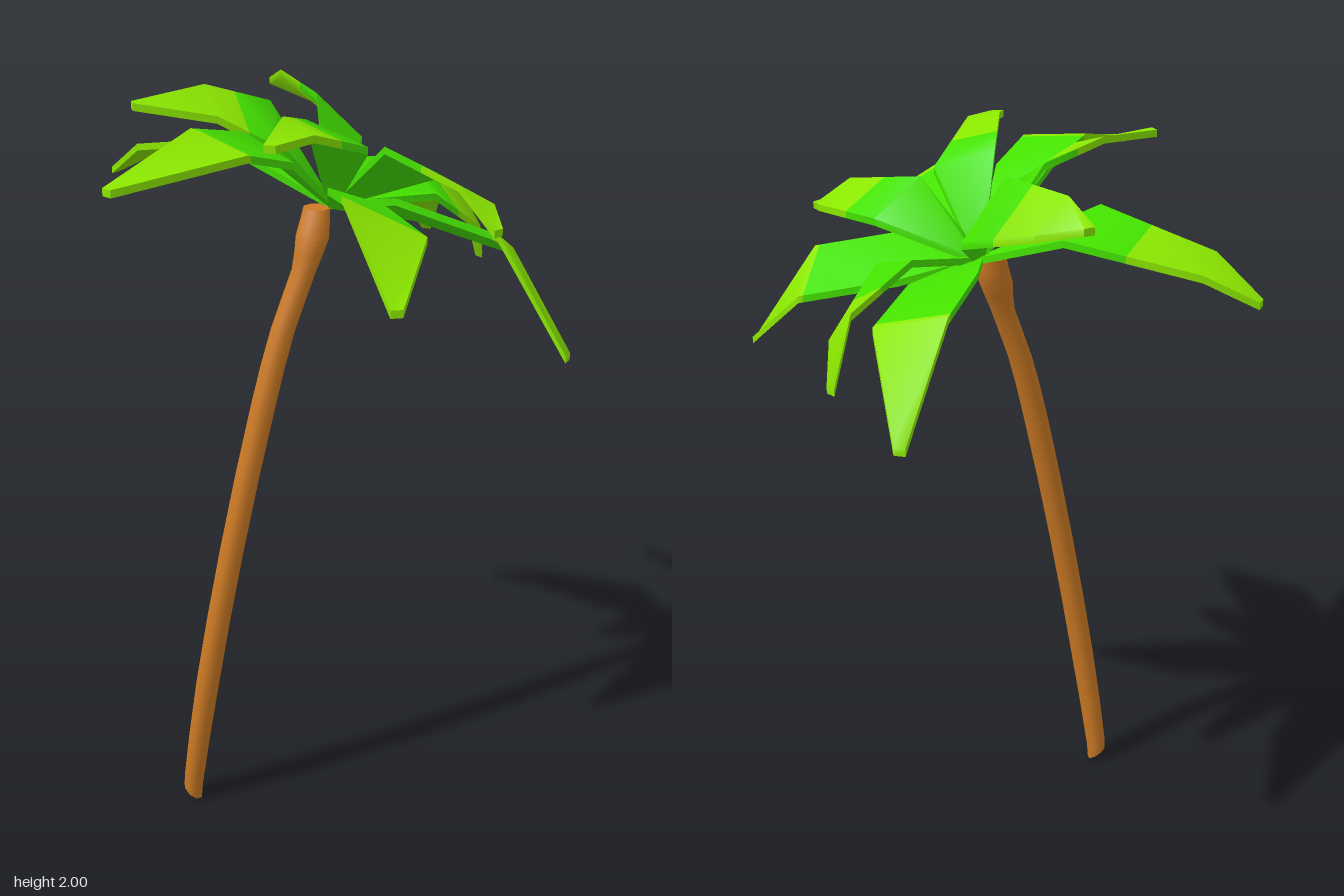
import * as THREE from 'three';
import { toCreasedNormals } from 'three/addons/utils/BufferGeometryUtils.js';

const bark = new THREE.MeshStandardMaterial({ color: 0xcc7a24 });
bark.name = 'bark brown';
const leafGreen = new THREE.MeshStandardMaterial({ color: 0x44e200 });
leafGreen.name = 'leaf green';
const tipGreen = new THREE.MeshStandardMaterial({ color: 0x8ae600 });
tipGreen.name = 'tip yellow green';

const THICK = 0.018;
const CROWN = new THREE.Vector3(0.03, 1.71, 0);

// Frond: a thin blade through crown, shoulder pair, outer pair and tip.
// Each pair is left then right seen from above, looking outward.
// split = where between shoulder and outer pair the tip colour begins.
function makeFrond(split, shoulder, outer, tip) {
  const v = (a) => new THREE.Vector3(...a);
  const pair = (p) => [v(p.slice(0, 3)), v(p.slice(3))];
  const ends = (p, dir, half) => {
    const side = new THREE.Vector3(dir.z, 0, -dir.x).normalize().multiplyScalar(half);
    return [p.clone().add(side), p.clone().sub(side)];
  };
  const out = v(tip).sub(CROWN);
  const s = pair(shoulder), o = pair(outer);
  const change = [0, 1].map((i) => s[i].clone().lerp(o[i], split));
  const rows = [ends(CROWN, out, 0.01), s, change, o, ends(v(tip), out, 0.014)];

  const pos = [];
  const low = (p) => p.clone().setY(p.y - THICK);
  const quad = (a, b, c, d) => [a, b, c, a, c, d].forEach((p) => pos.push(p.x, p.y, p.z));
  let inner = 0;
  for (let i = 0; i < rows.length - 1; i++) {
    const [a, b] = rows[i], [d, c] = rows[i + 1];
    quad(a, b, c, d);
    quad(low(b), low(a), low(d), low(c));
    quad(low(a), a, d, low(d));
    quad(b, low(b), low(c), c);
    if (i === 0) quad(low(a), low(b), b, a);
    if (i === rows.length - 2) quad(d, c, low(c), low(d));
    if (i === 1) inner = pos.length / 3;
  }
  const geo = new THREE.BufferGeometry();
  geo.setAttribute('position', new THREE.Float32BufferAttribute(pos, 3));
  geo.addGroup(0, inner, 0);
  geo.addGroup(inner, pos.length / 3 - inner, 1);
  return new THREE.Mesh(toCreasedNormals(geo, 0.95), [leafGreen, tipGreen]);
}

// Trunk: a cylinder whose rings follow a leaning curve, swelling under the crown
function makeTrunk() {
  const rings = [ // x, y, z, radius
    [-0.278, 0.02, 0.29, 0.026], [-0.272, 0.08, 0.29, 0.03], [-0.222, 0.4, 0.283, 0.034],
    [-0.157, 0.8, 0.245, 0.034], [-0.09, 1.2, 0.175, 0.034], [-0.052, 1.4, 0.128, 0.033],
    [-0.012, 1.55, 0.083, 0.033], [0.0, 1.63, 0.056, 0.045], [0.003, 1.7, 0.033, 0.036],
  ];
  const curve = new THREE.CatmullRomCurve3(rings.map((r) => new THREE.Vector3(...r)));
  const n = rings.length - 1;
  const geo = new THREE.CylinderGeometry(1, 1, 1, 8, n * 2);
  const p = geo.attributes.position;
  for (let i = 0; i < p.count; i++) {
    const t = p.getY(i) + 0.5;
    const c = curve.getPoint(t);
    const k = Math.min(Math.floor(t * n + 1e-6), n - 1);
    const r = THREE.MathUtils.lerp(rings[k][3], rings[k + 1][3], t * n - k);
    const slant = t < 0.01 ? -0.02 * p.getX(i) : 0; // slanted foot
    p.setXYZ(i, c.x + p.getX(i) * r, c.y + slant, c.z + p.getZ(i) * r);
  }
  return new THREE.Mesh(toCreasedNormals(geo, 0.9), bark);
}

export function createModel() {
  const tree = new THREE.Group();
  tree.name = 'palmTree';
  const trunk = makeTrunk();
  trunk.name = 'trunk';
  tree.add(trunk);

  const crown = new THREE.Group();
  crown.name = 'crown';
  tree.add(crown);
  const frond = (name, ...shape) => {
    const mesh = makeFrond(...shape);
    mesh.name = name;
    crown.add(mesh);
  };

  // Fronds, clockwise from the back
  frond('backFrond', 0.92, [-0.025, 1.76, -0.27, 0.15, 1.71, -0.24],
    [0, 1.72, -0.465, 0.185, 1.67, -0.435], [0.065, 1.485, -0.668]);
  frond('backLeftFrond', 0.5, [0.14, 1.77, -0.24, 0.26, 1.72, -0.13],
    [0.255, 1.675, -0.37, 0.325, 1.59, -0.33], [0.302, 1.5, -0.407]);
  frond('leftFrond', 0.95, [0.215, 1.67, -0.10, 0.22, 1.75, 0.06],
    [0.475, 1.61, -0.105, 0.48, 1.69, 0.065], [0.672, 1.42, 0.085]);
  frond('leftUpperFrond', 0.5, [0.29, 1.80, -0.03, 0.2, 1.88, 0.09],
    [0.485, 1.78, 0.13, 0.42, 1.835, 0.2], [0.53, 1.755, 0.248]);
  frond('frontLeftFrond', 0.93, [0.2, 1.74, 0.09, 0.13, 1.82, 0.28],
    [0.385, 1.74, 0.315, 0.22, 1.84, 0.415], [0.417, 1.665, 0.607]);
  frond('frontUpperFrond', 0.5, [0.18, 1.89, 0.15, 0.02, 1.94, 0.14],
    [0.145, 1.965, 0.395, 0.05, 1.99, 0.35], [0.085, 1.96, 0.503]);
  frond('frontFrond', 0.93, [0.045, 1.87, 0.28, -0.12, 1.91, 0.19],
    [0, 1.915, 0.43, -0.18, 1.945, 0.35], [-0.23, 1.872, 0.66]);
  frond('frontRightFrond', 0.55, [-0.025, 1.86, 0.145, -0.13, 1.95, 0.01],
    [-0.17, 1.95, 0.23, -0.26, 1.998, 0.11], [-0.362, 1.98, 0.292]);
  frond('rightFrond', 0.45, [-0.265, 1.85, 0.04, -0.21, 1.82, -0.175],
    [-0.56, 1.787, -0.08, -0.54, 1.765, -0.2], [-0.675, 1.7, -0.158]);
  frond('backRightFrond', 0.45, [-0.06, 1.95, -0.12, 0.02, 1.82, -0.24],
    [-0.24, 1.965, -0.31, -0.175, 1.89, -0.375], [-0.302, 1.925, -0.408]);
  return tree;
}
